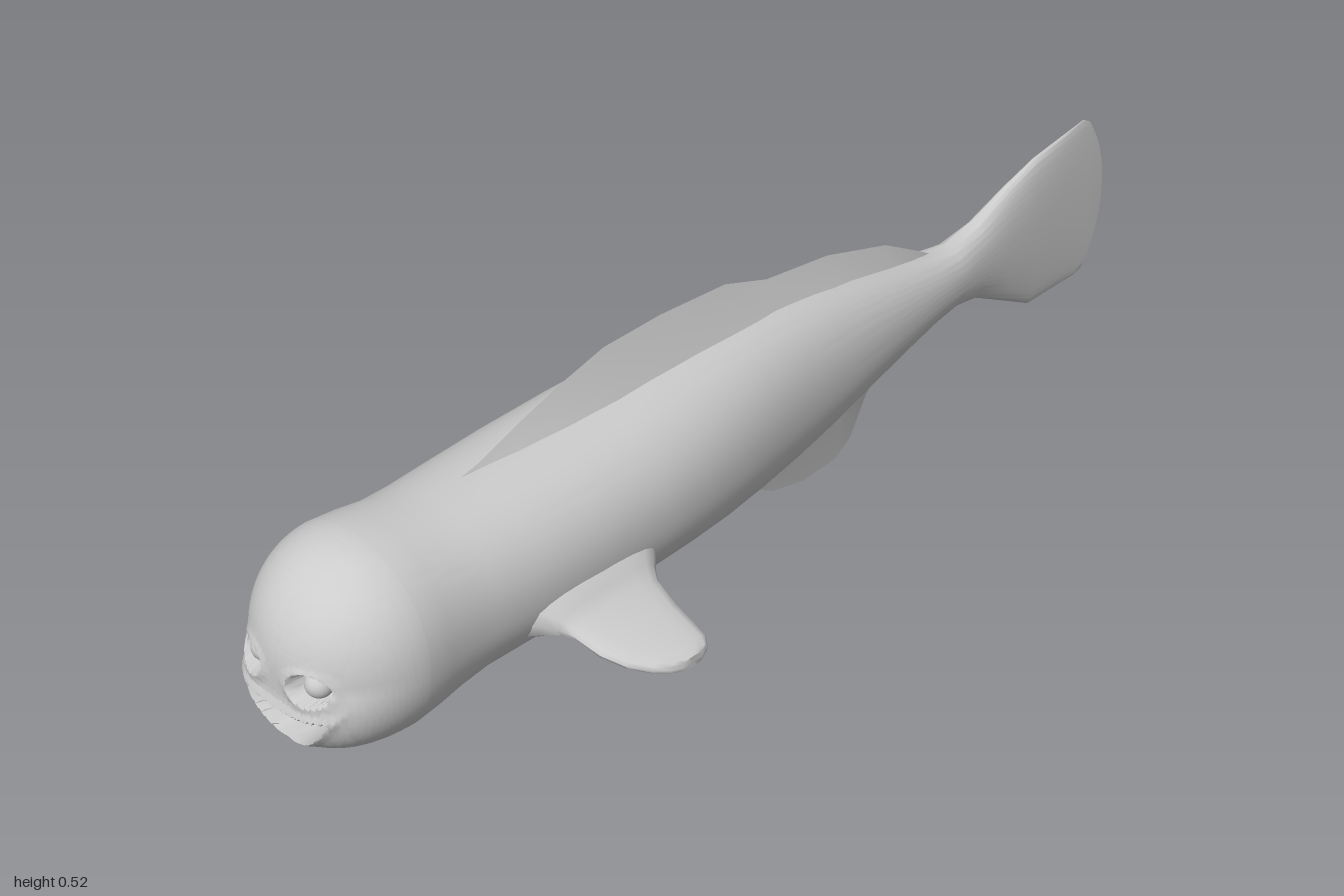
import * as THREE from 'three';
import { toCreasedNormals } from 'three/addons/utils/BufferGeometryUtils.js';

const material = new THREE.MeshStandardMaterial({ color: 0xcccccc, side: THREE.DoubleSide });

// Skin a series of closed rings (counter-clockwise seen from the last ring) and cap both ends
function loft(name, rings, crease) {
  const n = rings[0].length, pos = [], idx = [];
  rings.forEach(r => r.forEach(p => pos.push(...p)));
  for (let i = 0; i < rings.length - 1; i++) {
    for (let j = 0; j < n; j++) {
      const k = (j + 1) % n, a = i * n + j, b = i * n + k;
      idx.push(a, b, b + n, a, b + n, a + n);
    }
  }
  [0, rings.length - 1].forEach(i => {
    const centre = pos.length / 3;
    for (let c = 0; c < 3; c++) pos.push(rings[i].reduce((s, p) => s + p[c], 0) / n);
    for (let j = 0; j < n; j++) {
      const a = i * n + j, b = i * n + (j + 1) % n;
      if (i === 0) idx.push(centre, b, a); else idx.push(centre, a, b);
    }
  });
  const geo = new THREE.BufferGeometry();
  geo.setAttribute('position', new THREE.Float32BufferAttribute(pos, 3));
  geo.setIndex(idx);
  const mesh = new THREE.Mesh(toCreasedNormals(geo, crease), material);
  mesh.name = name;
  return mesh;
}

const smooth = THREE.MathUtils.smoothstep;
const lerp = THREE.MathUtils.lerp;
const SIDES = 96;
const EYE = { x: 0.066, y: 0.262 };

// Body stations: z, top, bottom, half width, rearward bow of the edge
const stations = [
  [-1.0, 0.42, 0.1, 0.003, 0.045], [-0.955, 0.432, 0.095, 0.006, 0.02], [-0.88, 0.423, 0.095, 0.011, 0],
  [-0.8, 0.41, 0.095, 0.019, 0], [-0.72, 0.382, 0.14, 0.026, 0], [-0.64, 0.345, 0.185, 0.033, 0],
  [-0.57, 0.328, 0.2, 0.042, 0], [-0.5, 0.338, 0.195, 0.054, 0], [-0.4, 0.365, 0.175, 0.07, 0],
  [-0.3, 0.39, 0.15, 0.084, 0], [-0.2, 0.41, 0.125, 0.098, 0], [-0.1, 0.425, 0.108, 0.113, 0],
  [0, 0.433, 0.1, 0.13, 0], [0.1, 0.437, 0.098, 0.147, 0], [0.2, 0.438, 0.1, 0.159, 0],
  [0.3, 0.436, 0.103, 0.166, 0], [0.45, 0.433, 0.107, 0.167, 0], [0.57, 0.43, 0.108, 0.163, 0],
  [0.66, 0.43, 0.105, 0.157, 0], [0.72, 0.433, 0.095, 0.157, 0], [0.77, 0.441, 0.088, 0.164, 0],
  [0.82, 0.445, 0.085, 0.17, 0],
];

function outline(a, top, bottom, w) {
  const c = Math.cos(a), s = Math.sin(a), e = 0.93;
  return [w * Math.sign(c) * Math.abs(c) ** e,
    (top + bottom) / 2 + (top - bottom) / 2 * Math.sign(s) * Math.abs(s) ** e];
}

// Push the mouth and eye sockets into the front of the head, with a soft rim
function carve(x, y, z) {
  const u = Math.abs(x) / 0.104;
  const mouth = Math.min(0.203 + 0.006 * u * u - y, y - 0.128 - 0.079 * u ** 2.2);
  z += 0.008 * Math.exp(-((mouth / 0.012) ** 2));
  z = lerp(z, Math.min(z, 0.915), smooth(mouth, 0, 0.007));
  const d = Math.hypot((Math.abs(x) - EYE.x) / 0.037, (y - EYE.y) / 0.028);
  z += 0.004 * Math.exp(-(((d - 1.1) / 0.2) ** 2));
  return lerp(z, Math.min(z, 0.94), 1 - smooth(d, 0.78, 1));
}

function makeBody() {
  const angles = Array.from({ length: SIDES }, (_, j) => j / SIDES * Math.PI * 2);
  const rings = stations.map(([z, top, bottom, w, bow]) => angles.map(a => {
    const [x, y] = outline(a, top, bottom, w);
    return [x, y, z + bow * Math.sin(a) ** 2];
  }));
  // Domed face, fuller at the chin
  const steps = 64;
  for (let i = 1; i <= steps; i++) {
    const s = Math.max(0.01, Math.cos(i / steps * Math.PI / 2));
    rings.push(angles.map(a => {
      const [ox, oy] = outline(a, 0.445, 0.085, 0.17);
      const x = ox * s, y = lerp(0.265, oy, s);
      const p = 2 + 3 * Math.max(0, -Math.sin(a));
      return [x, y, carve(x, y, 0.82 + 0.175 * Math.sqrt(1 - s ** p))];
    }));
  }
  return loft('body', rings, 0.8);
}

// Upright fin tapering to a sharp edge; rows are z, base y, tip y, half thickness
function makeUprightFin(name, rows) {
  return loft(name, rows.map(([z, base, tip, t]) => {
    const mid = lerp(base, tip, 0.5);
    const ring = [[t, base, z], [t * 0.45, mid, z], [0, tip, z], [-t * 0.45, mid, z], [-t, base, z]];
    return tip < base ? ring.reverse() : ring;
  }), 0.9);
}

// Side fin; rows are x, rear z, front z, middle y, half thickness
function makeSideFin(side) {
  const rows = [
    [0.12, 0.29, 0.63, 0.22, 0.065], [0.16, 0.325, 0.59, 0.216, 0.045], [0.18, 0.345, 0.565, 0.205, 0.028],
    [0.2, 0.357, 0.55, 0.194, 0.019], [0.25, 0.365, 0.54, 0.178, 0.016], [0.29, 0.367, 0.52, 0.166, 0.014],
    [0.32, 0.371, 0.492, 0.158, 0.013], [0.335, 0.382, 0.468, 0.153, 0.012], [0.342, 0.4, 0.445, 0.15, 0.011],
  ];
  const rings = rows.map(([x, z0, z1, y, t]) => {
    const ring = Array.from({ length: 20 }, (_, j) => {
      const a = j / 20 * Math.PI * 2, c = Math.cos(a);
      return [side * x, y + t * Math.sign(c) * Math.abs(c) ** 0.6, lerp(z0, z1, (1 + Math.sin(a)) / 2)];
    });
    return side < 0 ? ring.reverse() : ring;
  });
  return loft(side > 0 ? 'leftSideFin' : 'rightSideFin', rings, 0.8);
}

export function createModel() {
  const model = new THREE.Group();
  model.name = 'fish';
  model.add(makeBody());

  model.add(makeUprightFin('backFin', [
    [-0.52, 0.28, 0.334, 0.01], [-0.47, 0.31, 0.365, 0.018], [-0.4, 0.33, 0.407, 0.024],
    [-0.25, 0.37, 0.455, 0.03], [-0.1, 0.395, 0.477, 0.034], [0, 0.41, 0.514, 0.036],
    [0.15, 0.415, 0.526, 0.037], [0.28, 0.415, 0.525, 0.037], [0.38, 0.41, 0.5, 0.034],
    [0.48, 0.41, 0.468, 0.026], [0.56, 0.405, 0.438, 0.015], [0.62, 0.4, 0.425, 0.006],
  ]));
  model.add(makeUprightFin('bellyFin', [
    [-0.42, 0.21, 0.168, 0.01], [-0.36, 0.19, 0.11, 0.014], [-0.32, 0.18, 0.035, 0.018],
    [-0.28, 0.17, 0.008, 0.022], [-0.2, 0.155, 0.003, 0.026], [-0.12, 0.14, 0.022, 0.026],
    [-0.06, 0.13, 0.06, 0.02], [0.02, 0.12, 0.1, 0.01],
  ]));

  for (const side of [1, -1]) {
    model.add(makeSideFin(side));
    const eye = new THREE.Mesh(new THREE.SphereGeometry(0.024, 24, 16), material);
    eye.name = side > 0 ? 'leftEye' : 'rightEye';
    eye.position.set(side * (EYE.x - 0.002), EYE.y, 0.957);
    model.add(eye);
  }
  return model;
}
